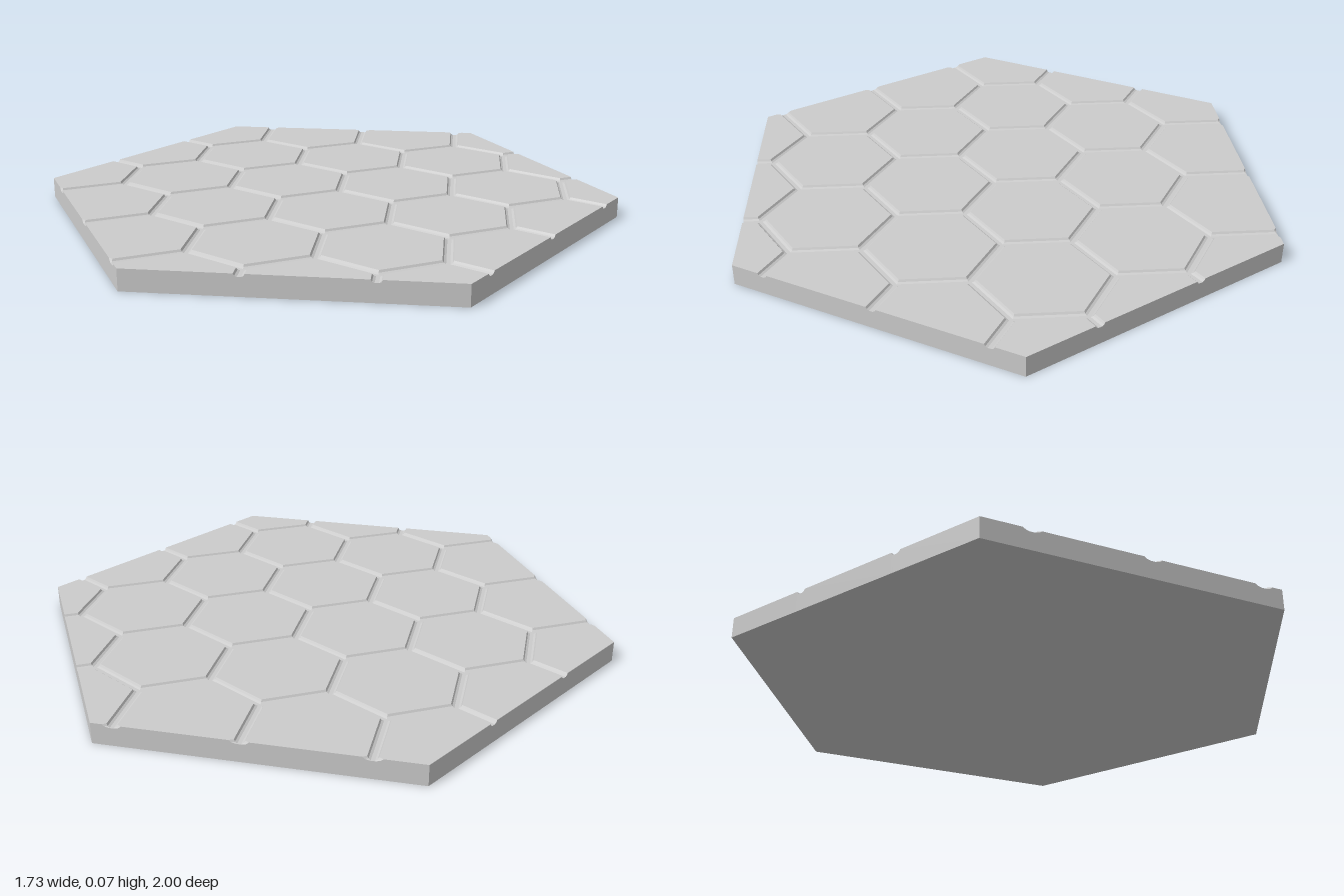
import * as THREE from 'three';

const HEIGHT = 0.07;
const APOTHEM = Math.sqrt(3) / 2;          // slab: corners on +z and -z, radius 1
const CELL = 0.2237;                       // cell radius
const X_SHIFT = -0.0025;
// groove profile from its centre line outwards: [inset, height]
const GROOVE = [[0, 0.06], [0.006, 0.06], [0.013, 0.0635], [0.017, HEIGHT]];

const SIDES = [0, 1, 2, 3, 4, 5].map(k => {
  const a = k * Math.PI / 3;
  return new THREE.Vector3(Math.cos(a), 0, Math.sin(a));
});

// upward-facing ring of six corners
function hexRing(cx, cz, radius, y, turn = 0) {
  return SIDES.map((_, k) => {
    const a = -k * Math.PI / 3 + turn;
    return new THREE.Vector3(cx + radius * Math.cos(a), y, cz + radius * Math.sin(a));
  });
}

// cut a polygon off at the slab's six sides
function clipToSlab(poly) {
  for (const n of SIDES) {
    const out = [];
    poly.forEach((a, i) => {
      const b = poly[(i + 1) % poly.length];
      const da = n.dot(a) - APOTHEM, db = n.dot(b) - APOTHEM;
      if (da <= 1e-9) out.push(a);
      if ((da < -1e-9 && db > 1e-9) || (da > 1e-9 && db < -1e-9)) out.push(a.clone().lerp(b, da / (da - db)));
    });
    poly = out;
  }
  return poly;
}

function addFan(points, poly) {
  for (let i = 1; i + 1 < poly.length; i++) points.push(poly[0], poly[i], poly[i + 1]);
}

function makeMesh(name, points) {
  const geometry = new THREE.BufferGeometry().setFromPoints(points);
  geometry.computeVertexNormals();
  const mesh = new THREE.Mesh(geometry, new THREE.MeshStandardMaterial({ color: 0xcccccc, flatShading: true }));
  mesh.name = name;
  return mesh;
}

export function createModel() {
  const tiles = [], grooves = [], rim = [], underside = [];

  // clipped face, plus the slab wall below any edge lying on the outline
  function addFace(target, polygon) {
    const poly = clipToSlab(polygon);
    if (poly.length < 3) return;
    addFan(target, poly);
    poly.forEach((a, i) => {
      const b = poly[(i + 1) % poly.length];
      const onSide = SIDES.some(n => Math.abs(n.dot(a) - APOTHEM) < 1e-6 && Math.abs(n.dot(b) - APOTHEM) < 1e-6);
      if (onSide) addFan(rim, [a, a.clone().setY(0), b.clone().setY(0), b]);
    });
  }

  // honeycomb: columns alternate by half a cell
  const pitchX = 1.5 * CELL, pitchZ = Math.sqrt(3) * CELL;
  for (let col = -3; col <= 3; col++) {
    for (let row = -4; row <= 4; row++) {
      const cx = X_SHIFT + (col + 0.5) * pitchX;
      const cz = (row + (col % 2 === 0 ? 0.5 : 0)) * pitchZ;
      const rings = GROOVE.map(([inset, y]) => hexRing(cx, cz, CELL - inset / APOTHEM, y));
      addFace(tiles, rings[rings.length - 1]);
      for (let r = 0; r + 1 < rings.length; r++) {
        for (let k = 0; k < 6; k++) {
          const n = (k + 1) % 6;
          addFace(grooves, [rings[r][k], rings[r][n], rings[r + 1][n], rings[r + 1][k]]);
        }
      }
    }
  }

  addFan(underside, hexRing(0, 0, 1, 0, Math.PI / 2).reverse());

  const model = new THREE.Group();
  model.name = 'hexPavingSlab';
  model.add(
    makeMesh('hexTiles', tiles),
    makeMesh('grooves', grooves),
    makeMesh('slabRim', rim),
    makeMesh('slabUnderside', underside)
  );
  return model;
}
